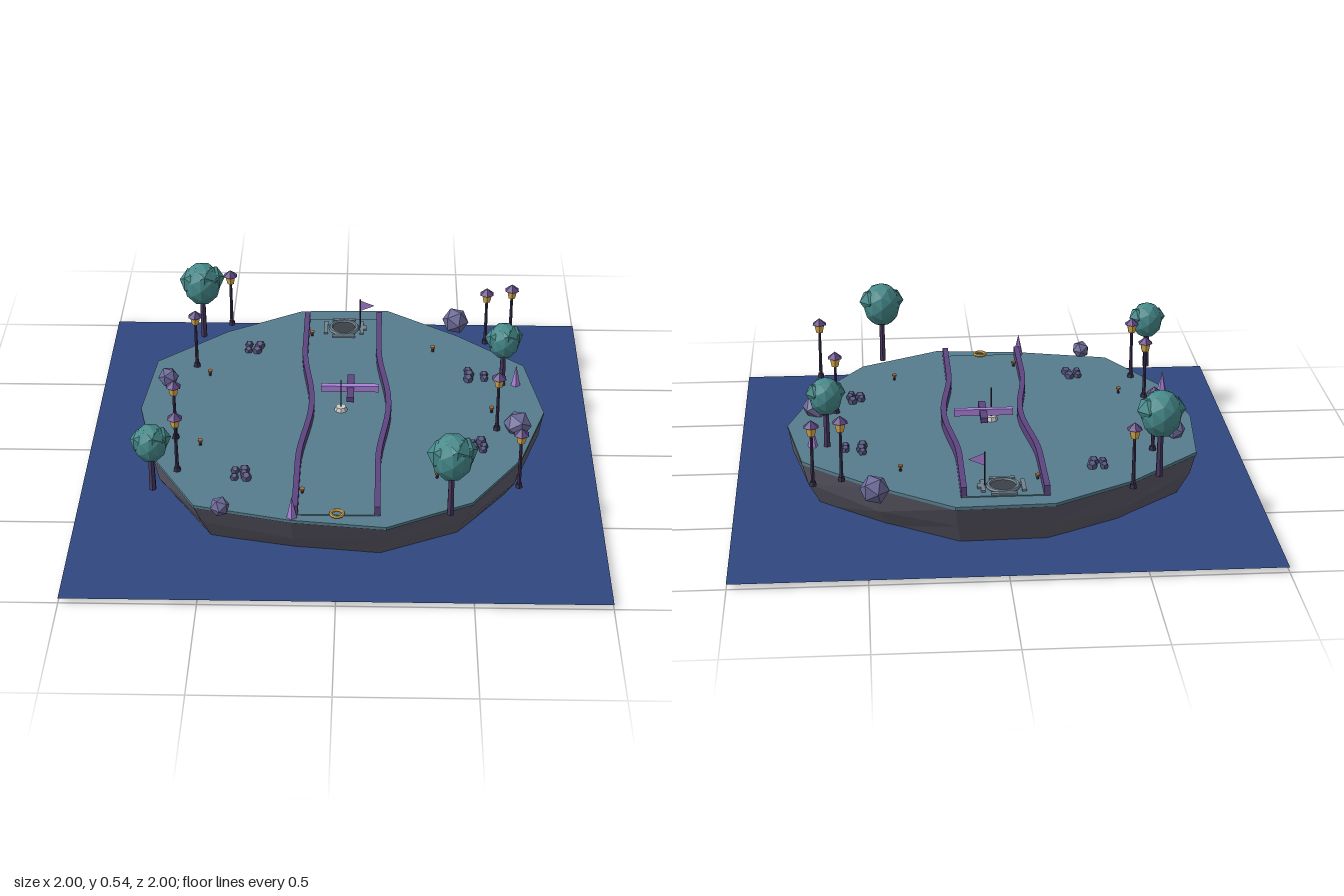
import * as THREE from 'three';

const mat = (color) => new THREE.MeshStandardMaterial({ color, flatShading: true, side: THREE.DoubleSide });
const M = {
  water: mat(0x30487f), stone: mat(0x5d5b69), grass: mat(0x567c8c), wall: mat(0x5c4480),
  violet: mat(0xa882d8), trunk: mat(0x4a3a62), leaf: mat(0x46898a), rock: mat(0x6c6a98),
  pebble: mat(0x55547f), post: mat(0x3b3050), gold: mat(0xe0b050), amber: mat(0xa8703c),
  dark: mat(0x3c4048), ring: mat(0x72828f), pale: mat(0xcccccc),
};
const GROUND = 0.2;

function add(parent, name, geo, material, x = 0, y = 0, z = 0) {
  const mesh = new THREE.Mesh(geo, material);
  mesh.name = name;
  mesh.position.set(x, y, z);
  parent.add(mesh);
  return mesh;
}
function subgroup(parent, name, x, y, z) {
  const g = new THREE.Group();
  g.name = name;
  g.position.set(x, y, z);
  parent.add(g);
  return g;
}

// Outline radii of the island, counter-clockwise from +x
const RADII = [0.80, 0.82, 0.76, 0.82, 0.81, 0.78, 0.84, 0.79, 0.79, 0.85, 0.77, 0.81, 0.80, 0.77];

// Irregular slab; taper gives the radius factor and lift the height jitter for t = 0..1
function slab(y0, y1, rows, taper, lift = () => 0) {
  const n = RADII.length;
  const geo = new THREE.CylinderGeometry(1, 1, 1, n, rows, false, Math.PI / 2);
  const p = geo.attributes.position;
  for (let i = 0; i < p.count; i++) {
    const x = p.getX(i), z = p.getZ(i), t = p.getY(i) + 0.5;
    const k = (Math.round(Math.atan2(-z, x) / (2 * Math.PI) * n) + n) % n;
    const r = RADII[k] * taper(t, k);
    p.setXYZ(i, x * r, y0 + (y1 - y0) * t + lift(t, k), z * r);
  }
  geo.computeVertexNormals();
  return geo;
}

// Sideways bend shared by the path and its walls
const bend = (z) => Math.abs(z) < 0.42 ? 0.02 * (1 + Math.cos(Math.PI * z / 0.42)) : 0;

// Strip between x0 and x1 that follows the bend
function strip(x0, x1, height) {
  const left = [], right = [];
  for (let i = 0; i <= 24; i++) {
    const z = -0.72 + 1.44 * i / 24;
    left.push(new THREE.Vector2(x0 + bend(z), -z));
    right.unshift(new THREE.Vector2(x1 + bend(z), -z));
  }
  const geo = new THREE.ExtrudeGeometry(new THREE.Shape([...left, ...right]), { depth: height, bevelEnabled: false });
  return geo.rotateX(-Math.PI / 2);
}

function tree(root, x, z, s, crownY) {
  const g = subgroup(root, 'tree', x, 0, z);
  add(g, 'trunk', new THREE.CylinderGeometry(0.010, 0.014, crownY - GROUND, 6), M.trunk, 0, (crownY + GROUND) / 2, 0);
  const crown = subgroup(g, 'crown', 0, crownY, 0);
  // one tall core with overlapping side lobes
  for (const [dx, dy, dz, r, h] of [[0, 0, 0, 0.078, 1.2], [-0.037, 0.018, 0.01, 0.056, 1], [0.04, 0.02, -0.008, 0.054, 1], [0.008, 0.03, 0.018, 0.06, 1]]) {
    const lobe = add(crown, 'leaves', new THREE.IcosahedronGeometry(r * s, r > 0.07 ? 1 : 0), M.leaf, dx * s, dy * s, dz * s);
    lobe.scale.y = h;
    lobe.rotation.y = dx * 20;
  }
}

function lamp(root, x, z) {
  const g = subgroup(root, 'lamp', x, GROUND, z);
  add(g, 'lampFoot', new THREE.CylinderGeometry(0.012, 0.015, 0.016, 6), M.post, 0, 0.008, 0);
  add(g, 'lampPost', new THREE.CylinderGeometry(0.006, 0.008, 0.2, 6), M.post, 0, 0.1, 0);
  add(g, 'lantern', new THREE.CylinderGeometry(0.023, 0.015, 0.036, 6), M.gold, 0, 0.216, 0);
  add(g, 'lampCap', new THREE.ConeGeometry(0.031, 0.026, 6), M.wall, 0, 0.246, 0);
}

export function createModel() {
  const root = new THREE.Group();
  root.name = 'islandDiorama';

  // Sea and island
  add(root, 'sea', new THREE.PlaneGeometry(2, 2).rotateX(-Math.PI / 2), M.water, 0, 0.02, 0);
  add(root, 'cliff', slab(0, 0.19, 2,
    (t, k) => t === 1 ? 1 : (t === 0 ? 0.89 : 0.96) + 0.02 * Math.cos(k * 0.9),
    (t, k) => t === 0.5 ? 0.012 * Math.sin(k * 2.3) : 0), M.stone);
  add(root, 'meadow', slab(0.188, GROUND, 1, () => 1.002), M.grass);

  // Winding path with a low wall on each side
  add(root, 'path', strip(-0.15, 0.15, 0.004), M.grass, 0, GROUND, 0);
  for (const x of [-0.155, 0.148]) add(root, 'pathWall', strip(x - 0.011, x + 0.011, 0.04), M.wall, 0, GROUND, 0);

  // Trees
  for (const t of [[-0.585, -0.575, 1, 0.45], [0.415, 0.70, 1, 0.45], [-0.69, 0.56, 0.82, 0.405], [0.645, -0.21, 0.82, 0.405]]) tree(root, ...t);

  // Lamps
  for (const [x, z] of [[-0.475, -0.675], [-0.595, -0.33], [-0.635, 0.21], [-0.61, 0.435],
    [0.695, -0.575], [0.59, -0.54], [0.61, 0.125], [0.675, 0.52]]) lamp(root, x, z);

  // Crystal spikes
  for (const [x, z] of [[-0.165, 0.73], [-0.715, 0.26], [0.70, -0.21]]) {
    add(root, 'crystal', new THREE.ConeGeometry(0.02, 0.09, 5), M.violet, x, GROUND + 0.045, z);
  }

  // Boulders
  for (const [x, z, r] of [[0.47, -0.68, 0.056], [-0.7, -0.2, 0.042], [0.69, 0.125, 0.056], [-0.43, 0.705, 0.038]]) {
    add(root, 'boulder', new THREE.IcosahedronGeometry(r, 0), M.rock, x, 0.225, z).rotation.y = x * 5;
  }

  // Pebble clusters
  for (const [cx, cz, spots] of [
    [-0.37, -0.465, [[-0.02, -0.025], [0.025, -0.02], [-0.02, 0.02], [0.015, 0.02]]],
    [-0.37, 0.465, [[-0.02, -0.02], [0.015, -0.025], [-0.02, 0.025], [0.025, 0.025], [0.015, 0]]],
    [0.54, -0.26, [[-0.03, -0.04], [-0.025, -0.01], [0.035, -0.01], [-0.03, 0.025], [0.035, 0.02]]],
    [0.535, 0.25, [[-0.025, -0.01], [0.01, -0.03], [0.02, 0.01], [-0.02, 0.015], [0.015, 0.035]]],
  ]) {
    const g = subgroup(root, 'pebbles', cx, GROUND + 0.01, cz);
    spots.forEach(([x, z], i) => add(g, 'pebble', new THREE.DodecahedronGeometry(i % 2 ? 0.021 : 0.017, 0), M.pebble, x, 0, z));
  }

  // Ring of seven small ground lights
  for (let i = 0; i < 7; i++) {
    const a = i / 7 * Math.PI * 2, x = 0.595 * Math.cos(a), z = 0.595 * Math.sin(a);
    add(root, 'groundLightStem', new THREE.CylinderGeometry(0.004, 0.006, 0.016, 6), M.post, x, GROUND + 0.008, z);
    add(root, 'groundLight', new THREE.CylinderGeometry(0.011, 0.009, 0.008, 6), M.amber, x, GROUND + 0.02, z);
  }

  // Crossed beams and marker post in the middle
  add(root, 'crossBeam', new THREE.BoxGeometry(0.23, 0.026, 0.022), M.violet, 0.035, 0.266, -0.065);
  add(root, 'longBeam', new THREE.BoxGeometry(0.028, 0.022, 0.175), M.wall, 0.037, 0.264, -0.065);
  add(root, 'markerBase', new THREE.CylinderGeometry(0.02, 0.028, 0.02, 8), M.pale, 0, GROUND + 0.01, 0);
  add(root, 'markerPost', new THREE.CylinderGeometry(0.003, 0.003, 0.14, 6), M.post, 0, GROUND + 0.07, 0);

  // Round pit with a kerb and four edge stones
  const pit = subgroup(root, 'pit', 0, GROUND, -0.64);
  add(pit, 'pitFloor', new THREE.CylinderGeometry(0.05, 0.05, 0.01, 20), M.dark, 0, 0.005, 0);
  add(pit, 'pitKerb', new THREE.TorusGeometry(0.055, 0.009, 6, 20).rotateX(Math.PI / 2), M.ring, 0, 0.008, 0);
  for (let i = 0; i < 4; i++) {
    const a = i * Math.PI / 2;
    const stone = add(pit, 'edgeStone', new THREE.BoxGeometry(0.095, 0.012, 0.016), M.ring, 0.075 * Math.sin(a), 0.006, 0.068 * Math.cos(a));
    stone.rotation.y = a;
  }

  // Flag beside the pit
  const flag = subgroup(root, 'flag', 0.068, GROUND, -0.64);
  add(flag, 'flagBase', new THREE.BoxGeometry(0.03, 0.012, 0.03), M.ring, 0.012, 0.006, 0);
  add(flag, 'flagPole', new THREE.CylinderGeometry(0.003, 0.003, 0.145, 6), M.post, 0, 0.0725, 0);
  const cloth = new THREE.Shape([[0, 0.09], [0.06, 0.115], [0, 0.14]].map(([x, y]) => new THREE.Vector2(x, y)));
  add(flag, 'flagCloth', new THREE.ShapeGeometry(cloth), M.violet);

  // Gold ring at the front of the path
  add(root, 'goldRing', new THREE.TorusGeometry(0.023, 0.006, 6, 18).rotateX(Math.PI / 2), M.gold, 0, GROUND + 0.01, 0.72);

  return root;
}
